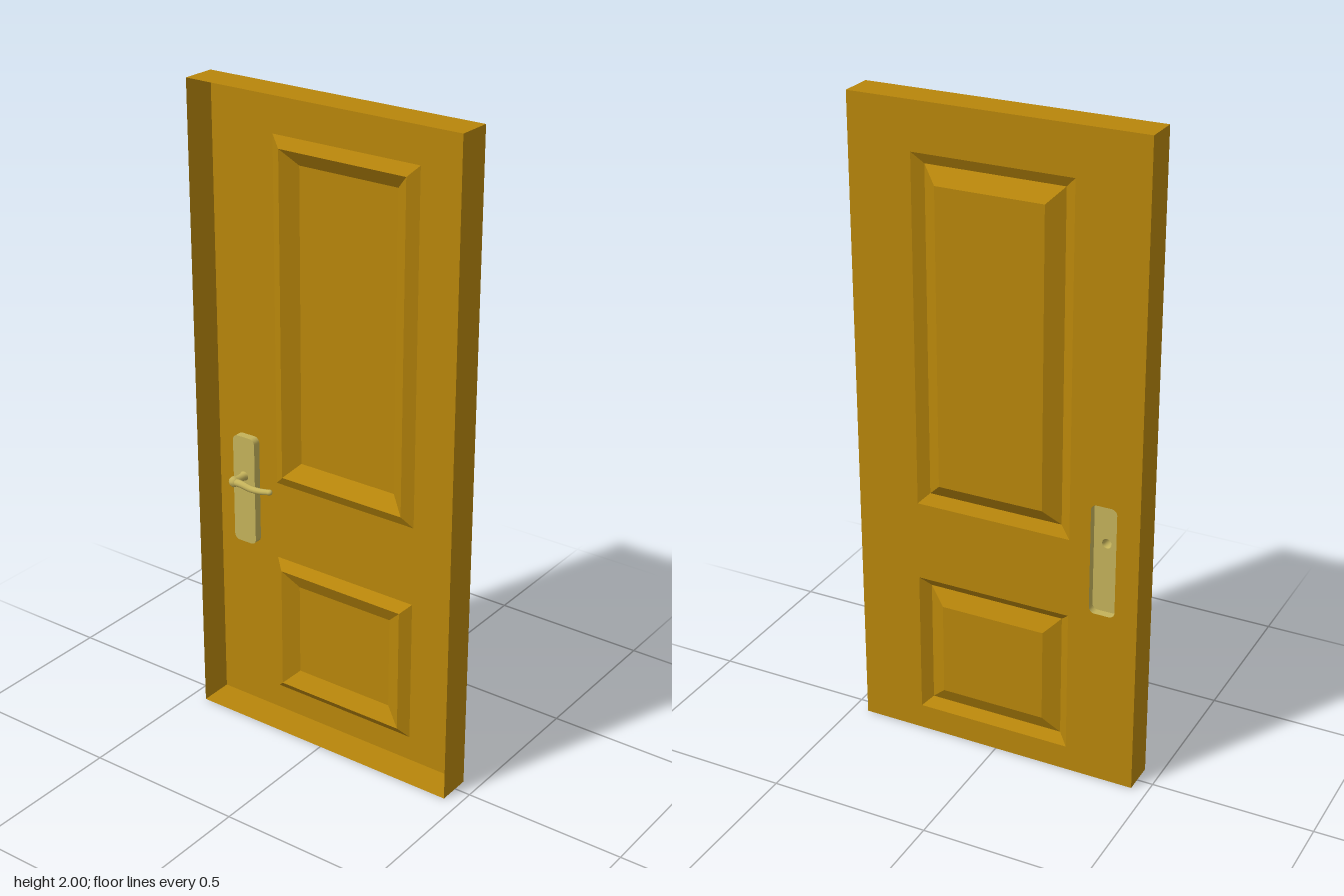
import * as THREE from 'three';

const BACK = -0.045, FRONT = 0.06, W = 0.45, H = 2;

const wood = new THREE.MeshStandardMaterial({ color: 0xb8860b, side: THREE.DoubleSide, flatShading: true });
const brass = new THREE.MeshStandardMaterial({ color: 0xc4b25a, side: THREE.DoubleSide });

function add(parent, name, geometry, material) {
  const mesh = new THREE.Mesh(geometry, material);
  mesh.name = name;
  parent.add(mesh);
  return mesh;
}

// Rounded (or square, r = 0) rectangle outline
function rect(x0, y0, x1, y1, r = 0, Kind = THREE.Shape) {
  const s = new Kind();
  s.moveTo(x0 + r, y0);
  s.lineTo(x1 - r, y0);
  if (r) s.absarc(x1 - r, y0 + r, r, -Math.PI / 2, 0);
  else s.lineTo(x1, y0);
  s.lineTo(x1, y1 - r);
  if (r) s.absarc(x1 - r, y1 - r, r, 0, Math.PI / 2);
  s.lineTo(x0 + r, y1);
  if (r) s.absarc(x0 + r, y1 - r, r, Math.PI / 2, Math.PI);
  s.lineTo(x0, y0 + r);
  if (r) s.absarc(x0 + r, y0 + r, r, Math.PI, Math.PI * 1.5);
  return s;
}

// Skin between successive closed loops of Vector3, optionally filling the last one
function skin(loops, fillLast) {
  const pos = [];
  const tri = (...pts) => pts.forEach((p) => pos.push(p.x, p.y, p.z));
  for (let k = 0; k + 1 < loops.length; k++) {
    const a = loops[k], b = loops[k + 1], n = a.length;
    for (let i = 0; i < n; i++) {
      const j = (i + 1) % n;
      tri(a[i], a[j], b[j]);
      tri(a[i], b[j], b[i]);
    }
  }
  if (fillLast) {
    const l = loops[loops.length - 1];
    for (let i = 1; i + 1 < l.length; i++) tri(l[0], l[i], l[i + 1]);
  }
  const g = new THREE.BufferGeometry();
  g.setAttribute('position', new THREE.Float32BufferAttribute(pos, 3));
  g.computeVertexNormals();
  return g;
}

const rectLoop = (x0, y0, x1, y1, z) => [
  new THREE.Vector3(x0, y0, z), new THREE.Vector3(x1, y0, z),
  new THREE.Vector3(x1, y1, z), new THREE.Vector3(x0, y1, z),
];

export function createModel() {
  const door = new THREE.Group();
  door.name = 'door';

  // Moulded panels: outer rectangle plus [inset, z] steps going inward
  const panels = [
    { name: 'upperPanel', box: [-0.235, 0.785, 0.255, 1.855], steps: [[0, BACK], [0.033, -0.027], [0.08, -0.06]] },
    { name: 'lowerPanel', box: [-0.235, 0.08, 0.255, 0.535], steps: [[0, BACK], [0.03, -0.022], [0.08, -0.047]] },
  ];
  const plate = [-0.38, 0.565, -0.3, 0.915, 0.018];

  // Door sheet with openings for the panels and lock plate
  const sheet = rect(-W, 0, W, H);
  for (const p of panels) sheet.holes.push(rect(...p.box, 0, THREE.Path));
  sheet.holes.push(rect(...plate, THREE.Path));
  add(door, 'doorSheet', new THREE.ShapeGeometry(sheet, 6), wood).position.z = BACK;

  for (const { name, box: [x0, y0, x1, y1], steps } of panels) {
    const loops = steps.map(([d, z]) => rectLoop(x0 + d, y0 + d, x1 - d, y1 - d, z));
    add(door, name, skin(loops, true), wood);
  }

  // Four edge walls, open toward the front
  add(door, 'edgeWalls', skin([rectLoop(-W, 0, W, H, FRONT), rectLoop(-W, 0, W, H, BACK)], false), wood);

  // Lock plate: hollow pressed tray with a hole for the spindle
  const handle = new THREE.Group();
  handle.name = 'handle';
  door.add(handle);
  const plateZ = -0.02, hubX = -0.34, hubY = 0.787, hubR = 0.015;
  const face = rect(...plate);
  const outline = face.getPoints(6);
  face.holes.push(new THREE.Path().absarc(hubX, hubY, hubR, 0, Math.PI * 2, true));
  add(handle, 'plateFace', new THREE.ShapeGeometry(face, 6), brass).position.z = plateZ;
  const ring = (z) => outline.map((p) => new THREE.Vector3(p.x, p.y, z));
  add(handle, 'plateRim', skin([ring(BACK), ring(plateZ)], false), brass);

  // Spindle: open at the back, domed at the front
  const profile = [[hubR, plateZ], [0.012, -0.012], [0.012, 0.015], [0.017, 0.025], [0.015, 0.035], [0.008, 0.041], [0, 0.042]];
  const hub = new THREE.LatheGeometry(profile.map(([r, z]) => new THREE.Vector2(r, z)), 20);
  hub.rotateX(Math.PI / 2);
  add(handle, 'spindle', hub, brass).position.set(hubX, hubY, 0);

  // Gently waved lever, tapering along its length
  const curve = new THREE.CatmullRomCurve3([
    [hubX, hubY, 0.028], [-0.31, 0.788, 0.03], [-0.275, 0.783, 0.03], [-0.24, 0.785, 0.03], [-0.205, 0.792, 0.029],
  ].map((p) => new THREE.Vector3(...p)));
  const segs = 20, sides = 12;
  const lever = new THREE.TubeGeometry(curve, segs, 0.012, sides);
  const pos = lever.attributes.position, v = new THREE.Vector3();
  for (let i = 0; i < pos.count; i++) {
    const t = Math.floor(i / (sides + 1)) / segs;
    const c = curve.getPointAt(t);
    v.fromBufferAttribute(pos, i).sub(c).multiplyScalar(1 - 0.3 * t).add(c);
    pos.setXYZ(i, v.x, v.y, v.z);
  }
  lever.computeVertexNormals();
  add(handle, 'lever', lever, brass);
  add(handle, 'leverTip', new THREE.SphereGeometry(0.0084, 12, 8), brass).position.copy(curve.getPointAt(1));

  return door;
}
